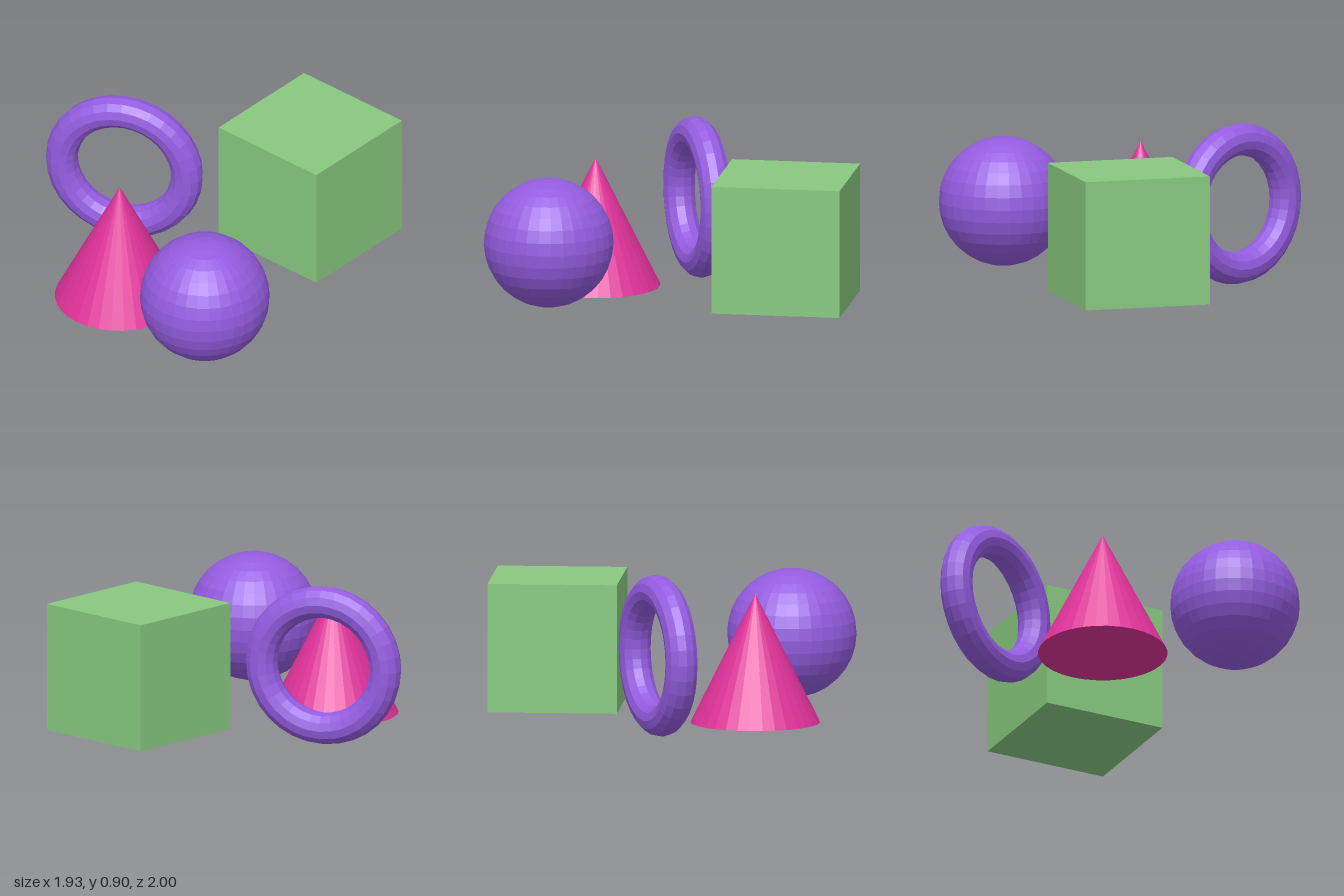
import * as THREE from 'three';

const material = (name, color) => {
  const m = new THREE.MeshStandardMaterial({ color, flatShading: true });
  m.name = name;
  return m;
};

export function createModel() {
  const group = new THREE.Group();
  group.name = 'primitiveShapes';
  const purple = material('purple', 0x945ce0);
  const pink = material('pink', 0xe0329a);
  const green = material('green', 0x88c980);

  const add = (name, geometry, mat, x, y, z) => {
    const mesh = new THREE.Mesh(geometry, mat);
    mesh.name = name;
    mesh.position.set(x, y, z);
    group.add(mesh);
    return mesh;
  };

  // Four separate solids, all about the same size
  add('cube', new THREE.BoxGeometry(0.72, 0.72, 0.72), green, 0.265, 0.415, -0.64);
  add('sphere', new THREE.SphereGeometry(0.36, 32, 16), purple, 0.604, 0.421, 0.638);
  add('cone', new THREE.ConeGeometry(0.36, 0.72, 32), pink, -0.148, 0.386, 0.495);

  // Upright ring, turned about the vertical
  const ring = add('ring', new THREE.TorusGeometry(0.36, 0.09, 12, 32), purple, -0.556, 0.45, -0.013);
  ring.rotation.y = 0.45;

  return group;
}
